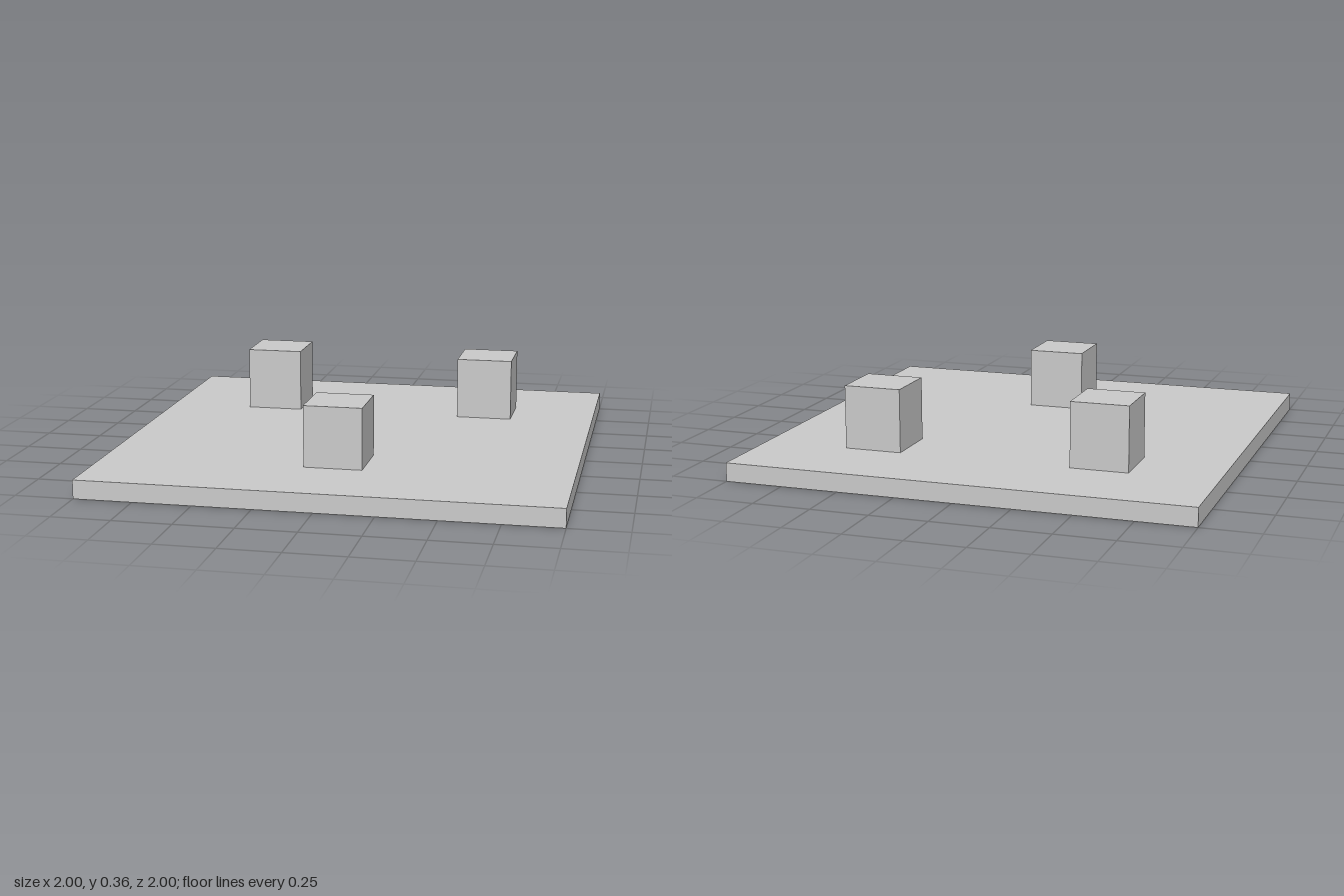
import * as THREE from 'three';

const BASE_HEIGHT = 0.08;
const BLOCK_SIZE = 0.25;

export function createModel() {
  const model = new THREE.Group();
  const material = new THREE.MeshStandardMaterial({ color: 0xcccccc, flatShading: true });

  // Adds a box whose underside rests at the given height
  const addBox = (name, [w, h, d], [x, bottom, z]) => {
    const mesh = new THREE.Mesh(new THREE.BoxGeometry(w, h, d), material);
    mesh.name = name;
    mesh.position.set(x, bottom + h / 2, z);
    model.add(mesh);
  };

  // Square base slab
  addBox('base', [2, BASE_HEIGHT, 2], [0, 0, 0]);

  // Three blocks with slightly different heights: name, x, z, top
  const blocks = [
    ['backRightBlock', -0.5, -0.5, 0.36],
    ['backLeftBlock', 0.5, -0.5, 0.354],
    ['frontBlock', 0, 0.5, 0.344],
  ];
  for (const [name, x, z, top] of blocks) {
    addBox(name, [BLOCK_SIZE, top - BASE_HEIGHT, BLOCK_SIZE], [x, BASE_HEIGHT, z]);
  }

  return model;
}
